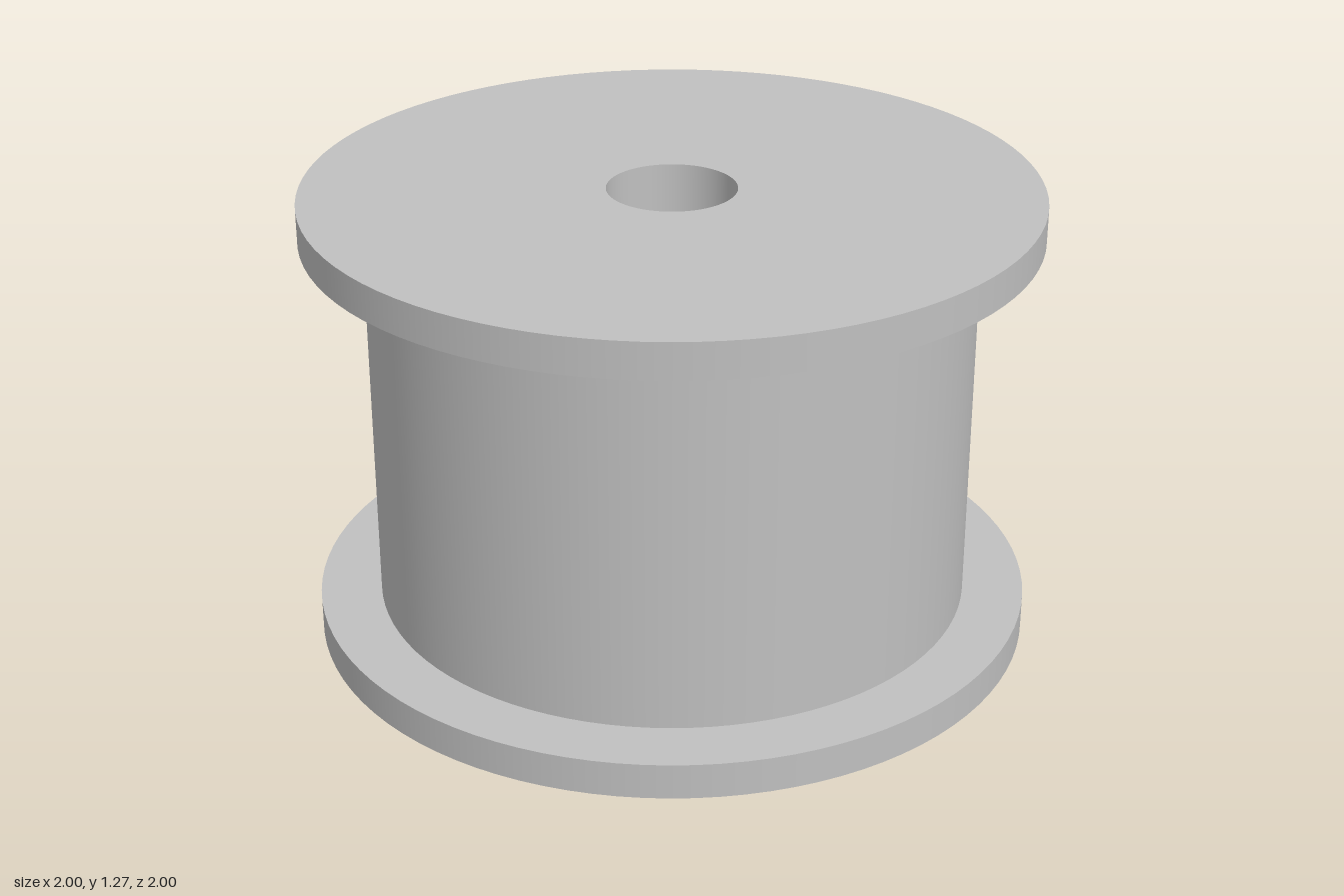
import * as THREE from 'three';
import { mergeGeometries } from 'three/addons/utils/BufferGeometryUtils.js';

const SEGMENTS = 96;
const HEIGHT = 1.27, FLANGE = 0.1;
const R_FLANGE = 1, R_CORE = 0.83, R_BORE = 0.177;

// Revolve each profile segment separately so edges stay sharp and sides smooth.
function revolve(profile) {
  const strips = [];
  for (let i = 0; i < profile.length - 1; i++) {
    const ends = [profile[i], profile[i + 1]].map(([r, y]) => new THREE.Vector2(r, y));
    strips.push(new THREE.LatheGeometry(ends, SEGMENTS));
  }
  return mergeGeometries(strips);
}

export function createModel() {
  const model = new THREE.Group();
  model.name = 'spool';
  const grey = new THREE.MeshStandardMaterial({ color: 0xc0c0c0 });
  grey.name = 'grey';

  const add = (name, profile) => {
    const mesh = new THREE.Mesh(revolve(profile), grey);
    mesh.name = name;
    model.add(mesh);
  };

  // Flanges: outer faces reach the bore, inner faces stop at the core
  add('bottomFlange', [[R_BORE, 0], [R_FLANGE, 0], [R_FLANGE, FLANGE], [R_CORE, FLANGE]]);
  add('topFlange', [[R_CORE, HEIGHT - FLANGE], [R_FLANGE, HEIGHT - FLANGE], [R_FLANGE, HEIGHT], [R_BORE, HEIGHT]]);
  // Drum between the flanges
  add('core', [[R_CORE, FLANGE], [R_CORE, HEIGHT - FLANGE]]);
  // Through hole, facing inward
  add('bore', [[R_BORE, HEIGHT], [R_BORE, 0]]);

  return model;
}
